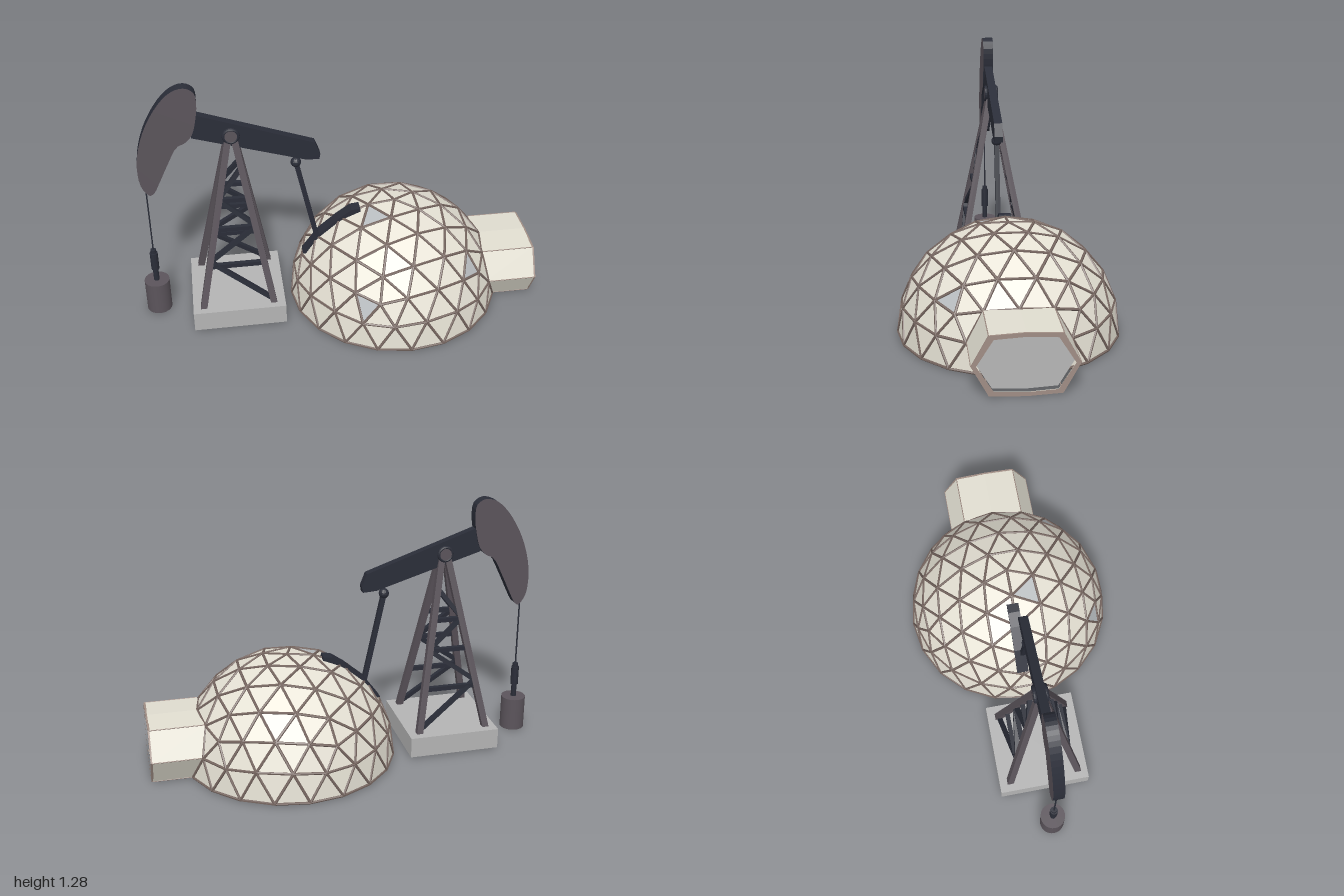
import * as THREE from 'three';
import { mergeGeometries } from 'three/addons/utils/BufferGeometryUtils.js';

const mat = (color, extra = {}) => new THREE.MeshStandardMaterial({ color, flatShading: true, ...extra });
const V = (x, y, z) => new THREE.Vector3(x, y, z);
const UP = V(0, 1, 0);

function add(parent, name, geometry, material, x = 0, y = 0, z = 0) {
  const mesh = new THREE.Mesh(geometry, material);
  mesh.name = name;
  mesh.position.set(x, y, z);
  parent.add(mesh);
  return mesh;
}

// Geometry of a straight bar between two points; 4 sides gives a square bar
function barGeometry(a, b, width, sides = 4) {
  const d = b.clone().sub(a);
  const g = sides === 4
    ? new THREE.BoxGeometry(width, d.length(), width)
    : new THREE.CylinderGeometry(width / 2, width / 2, d.length(), sides);
  g.applyQuaternion(new THREE.Quaternion().setFromUnitVectors(UP, d.normalize()));
  const m = a.clone().add(b).multiplyScalar(0.5);
  return g.translate(m.x, m.y, m.z);
}

// Outline in x and y, extruded to a depth centred on z = 0
function plate(points, depth, smooth = false) {
  const pts = points.map(([x, y]) => new THREE.Vector2(x, y));
  const outline = smooth
    ? new THREE.CatmullRomCurve3(pts.map(p => V(p.x, p.y, 0)), true).getPoints(48)
      .slice(0, -1).map(p => new THREE.Vector2(p.x, p.y))
    : pts;
  return new THREE.ExtrudeGeometry(new THREE.Shape(outline), { depth, bevelEnabled: false })
    .translate(0, 0, -depth / 2);
}

function createDome() {
  const dome = new THREE.Group();
  dome.name = 'dome';
  dome.position.set(0.29, 0.01, 0);
  const R = 0.535;
  const t = (1 + Math.sqrt(5)) / 2;
  const sphere = new THREE.IcosahedronGeometry(R, 3);
  sphere.applyQuaternion(new THREE.Quaternion().setFromUnitVectors(V(1, t, 0).normalize(), UP));
  const p = sphere.attributes.position;

  // Upper half of the geodesic sphere, and its unique edges
  const faces = [];
  const edges = new Map();
  const key = v => v.toArray().map(n => Math.round(n * 500)).join();
  for (let i = 0; i < p.count; i += 3) {
    const tri = [0, 1, 2].map(k => new THREE.Vector3().fromBufferAttribute(p, i + k));
    const centre = tri[0].clone().add(tri[1]).add(tri[2]).divideScalar(3);
    if (centre.y < 0) continue;
    faces.push({ tri, centre });
    tri.forEach((a, k) => {
      const b = tri[(k + 1) % 3];
      edges.set([key(a), key(b)].sort().join('|'), [a, b]);
    });
  }

  // Three glazed panels, the rest are plain
  const windows = [V(0.34, 0.3, 0.3), V(-0.2, 0.23, 0.44), V(-0.115, 0.5, 0.09)].map(w =>
    faces.reduce((m, f) => (f.centre.distanceTo(w) < m.centre.distanceTo(w) ? f : m)));
  const skin = list => {
    const g = new THREE.BufferGeometry().setFromPoints(list.flatMap(f => f.tri));
    g.computeVertexNormals();
    return g;
  };
  add(dome, 'domePanels', skin(faces.filter(f => !windows.includes(f))), mat(0xe6e2d5, { side: THREE.DoubleSide }));
  add(dome, 'domeWindows', skin(windows), mat(0xb9bdc0, { side: THREE.DoubleSide }));
  add(dome, 'domeStruts', mergeGeometries([...edges.values()].map(([a, b]) => barGeometry(a, b, 0.014, 6))), mat(0x75655f));
  return dome;
}

function createEntrance() {
  const entrance = new THREE.Group();
  entrance.name = 'entrance';
  const outline = s => [[-0.235, 0], [-0.16, 0.138], [0, 0.146], [0.16, 0.138], [0.235, 0], [0.16, -0.138], [0, -0.146], [-0.16, -0.138]]
    .map(([x, y]) => new THREE.Vector2(x - Math.sign(x) * s, y - Math.sign(y) * s * 0.85));
  const tube = (x0, x1, inset, hole) => {
    const shape = new THREE.Shape(outline(inset));
    if (hole) shape.holes.push(new THREE.Path(outline(hole)));
    return new THREE.ExtrudeGeometry(shape, { depth: x1 - x0, bevelEnabled: false })
      .rotateY(Math.PI / 2).translate(x0, 0.147, 0);
  };
  add(entrance, 'entranceWalls', tube(0.73, 0.992, 0, 0.02), mat(0xe0ddd0));
  add(entrance, 'entranceRim', tube(0.99, 1, 0, 0.022), mat(0xa08d84));
  add(entrance, 'entranceDoor', tube(0.95, 0.96, 0.018), mat(0xb6b6b6));
  const seams = [];
  for (const v of outline(0)) {
    if (v.x) seams.push(barGeometry(V(0.73, v.y + 0.147, v.x), V(0.995, v.y + 0.147, v.x), 0.005, 6));
  }
  add(entrance, 'entranceSeams', mergeGeometries(seams), mat(0xa08d84));
  return entrance;
}

function createPump() {
  const pump = new THREE.Group();
  pump.name = 'pump';
  pump.position.z = 0.008;
  const grey = mat(0x5b545b);
  const dark = mat(0x2a2d38);

  add(pump, 'foundation', new THREE.BoxGeometry(0.465, 0.105, 0.465), mat(0xb4b4b4), -0.53, 0.063, -0.003);

  // Four legs, with zigzag bracing between them on the front and back
  const legPoint = (side, face, y) => {
    const k = (0.99 - y) / 0.88;
    return V(side < 0 ? -0.53 - 0.18 * k : -0.5 + 0.145 * k, y, face * (0.01 + 0.17 * k));
  };
  const zigzag = [[1, 0.13, -1, 0.36], [-1, 0.335, 1, 0.335], [-1, 0.36, 1, 0.53], [-1, 0.53, 1, 0.53],
    [1, 0.54, -1, 0.68], [-1, 0.68, 1, 0.68], [-1, 0.69, 1, 0.84]];
  for (const face of [1, -1]) {
    for (const side of [1, -1]) {
      add(pump, 'leg', barGeometry(legPoint(side, face, 0.11), legPoint(side, face, 0.99), 0.032), grey);
    }
    for (const [s0, y0, s1, y1] of zigzag) {
      add(pump, 'brace', barGeometry(legPoint(s0, face, y0), legPoint(s1, face, y1), 0.022), dark);
    }
  }

  // Walking beam and its pivot
  add(pump, 'beam', plate([[-0.7, 1.14], [-0.7, 1.01], [-0.165, 0.845], [-0.095, 0.84], [-0.09, 0.87], [-0.115, 0.935]], 0.042), dark);
  const pivot = new THREE.Group();
  pivot.name = 'pivot';
  pivot.position.set(-0.515, 1.01, 0);
  pump.add(pivot);
  add(pivot, 'pivotPin', new THREE.CylinderGeometry(0.03, 0.03, 0.07, 20).rotateX(Math.PI / 2), grey);
  for (const z of [-0.027, 0.027]) add(pivot, 'pivotRing', new THREE.TorusGeometry(0.034, 0.009, 8, 24), dark, 0, 0, z);

  // Curved head: grey faces with a dark edge
  const head = plate([[-0.92, 0.71], [-0.955, 0.76], [-0.966, 0.85], [-0.957, 0.94], [-0.925, 1.05], [-0.875, 1.15],
    [-0.815, 1.23], [-0.76, 1.27], [-0.71, 1.277], [-0.67, 1.25], [-0.663, 1.18], [-0.675, 1.1], [-0.695, 1.03],
    [-0.73, 0.99], [-0.77, 0.97], [-0.82, 0.88], [-0.87, 0.775], [-0.9, 0.72]], 0.054, true);
  add(pump, 'head', head, [grey, dark]);

  // Cable, polished rod and well casing
  add(pump, 'cable', new THREE.CylinderGeometry(0.004, 0.004, 0.42, 6), dark, -0.938, 0.54, 0);
  add(pump, 'wellRod', new THREE.CylinderGeometry(0.014, 0.014, 0.2, 12), dark, -0.938, 0.27, 0);
  add(pump, 'wellCollar', new THREE.CylinderGeometry(0.02, 0.02, 0.1, 12), dark, -0.938, 0.3, 0);
  add(pump, 'wellCasing', new THREE.CylinderGeometry(0.063, 0.063, 0.175, 24), mat(0x5b545b, { flatShading: false }), -0.937, 0.0925, 0);

  // Connecting rod and counterweight
  add(pump, 'rodJoint', new THREE.SphereGeometry(0.026, 14, 10), dark, -0.208, 0.822, 0);
  add(pump, 'connectingRod', barGeometry(V(-0.208, 0.822, 0), V(-0.09, 0.27, 0), 0.024), dark);
  add(pump, 'counterweight', plate([[-0.185, 0.275], [-0.1, 0.39], [0, 0.475], [0.065, 0.52], [0.11, 0.525],
    [0.12, 0.47], [0.05, 0.38], [-0.09, 0.26]], 0.06), dark, 0, 0, -0.012);
  return pump;
}

export function createModel() {
  const model = new THREE.Group();
  model.name = 'domeAndPump';
  model.add(createDome(), createEntrance(), createPump());
  return model;
}
